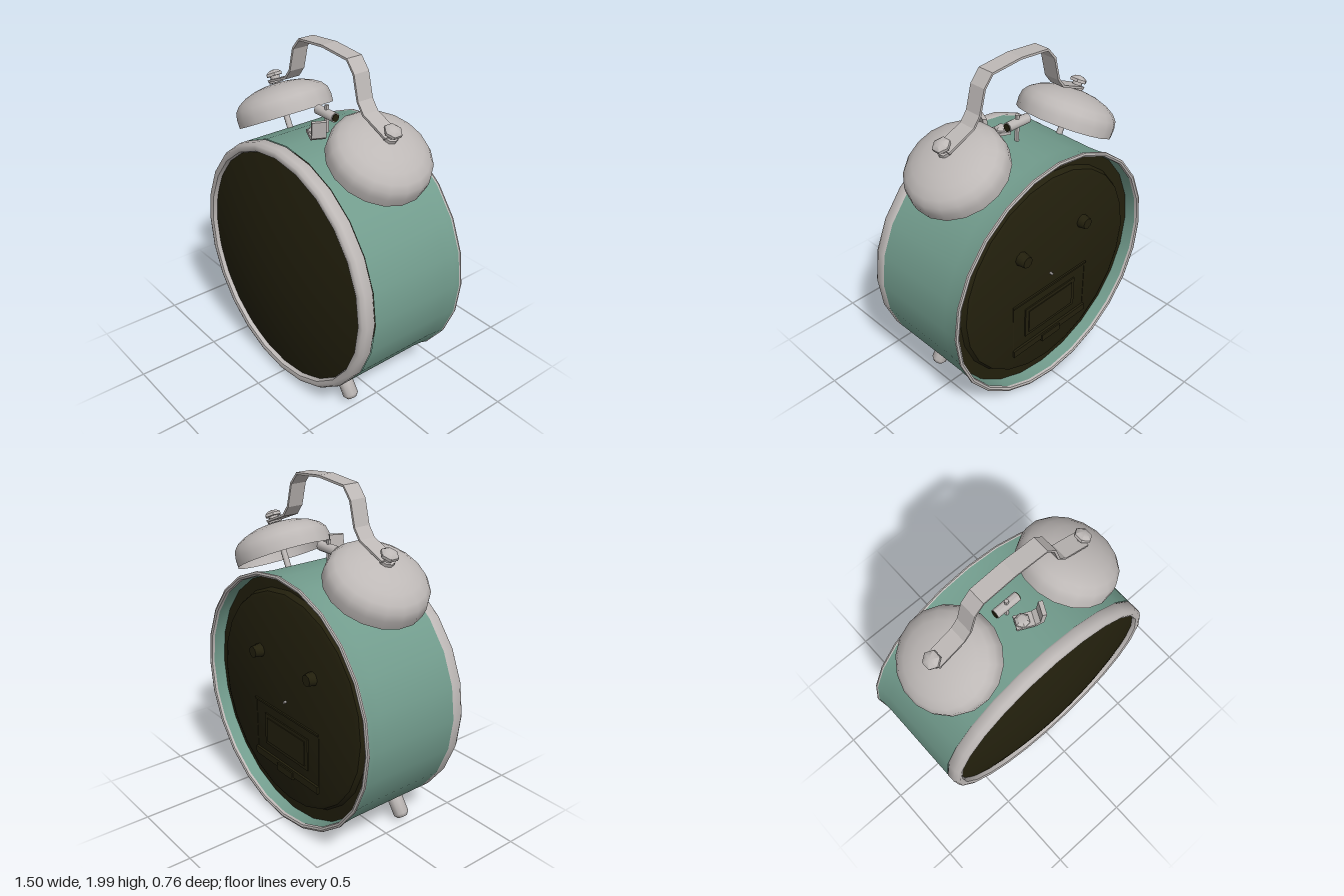
import * as THREE from 'three';
import { toCreasedNormals } from 'three/addons/utils/BufferGeometryUtils.js';

const mat = (name, color, side = THREE.DoubleSide) => new THREE.MeshStandardMaterial({ name, color, side });
const green = mat('greenEnamel', 0x729c8d);
const metal = mat('paleMetal', 0xbdb8b6);
const dark = mat('darkOlive', 0x23200d);

const CY = 0.757;   // height of the case axis
const BZ = -0.037;  // depth of the bells and handle
const PZ = -0.33;   // face of the raised back plate

export function createModel() {
  const root = new THREE.Group();

  const add = (name, geo, material, pos = [0, 0, 0], parent = root) => {
    const m = new THREE.Mesh(geo, material);
    m.name = name;
    m.position.set(...pos);
    parent.add(m);
    return m;
  };
  const lathe = (pts, seg, crease = 0.7) =>
    toCreasedNormals(new THREE.LatheGeometry(pts.map(p => new THREE.Vector2(...p)), seg), crease);
  // Turned part around the case axis; points are [radius, z]
  const turned = (name, pts, material, seg = 24) =>
    add(name, lathe(pts, seg).rotateX(Math.PI / 2), material, [0, CY, 0]);
  const cyl = (r1, r2, h, n = 10) =>
    toCreasedNormals(new THREE.CylinderGeometry(r1, r2, h, n), 0.9);

  // Case: inner wall, flared back lip, outer wall
  turned('caseInnerWall', [[0.72, -0.27], [0.728, -0.365]], green);
  turned('caseShell', [[0.748, -0.365], [0.741, -0.32], [0.737, -0.26], [0.737, 0.248]], green);
  turned('backRim', [[0.724, -0.355], [0.728, -0.369], [0.739, -0.374], [0.75, -0.37], [0.752, -0.362], [0.748, -0.355]], metal);

  // Front bezel and domed glass
  turned('frontBezel', [[0.70, 0.245], [0.73, 0.245], [0.738, 0.256], [0.737, 0.305],
    [0.724, 0.325], [0.707, 0.331], [0.69, 0.325], [0.683, 0.31], [0.683, 0.285]], metal);
  const dome = [];
  for (let i = 0; i <= 10; i++) {
    const r = 0.69 * (1 - i / 10);
    dome.push([r, 0.38 - 0.171 * r * r]);
  }
  turned('frontGlass', dome, dark, 32);

  // Recessed back plate with a raised middle
  turned('backPlate', [[0, PZ], [0.61, PZ], [0.635, PZ + 0.01], [0.65, -0.29], [0.73, -0.285]], dark);

  // Back knobs
  for (const [x, y, tip] of [[0.24, 0.995, -0.384], [-0.25, 0.995, -0.375]]) {
    const len = PZ + 0.01 - tip;
    add('backKnob', cyl(0.034, 0.043, len, 8).rotateX(-Math.PI / 2), dark, [x, y, tip + len / 2]);
  }
  add('backPin', cyl(0.008, 0.008, 0.02, 6).rotateX(Math.PI / 2), metal, [0, CY, PZ - 0.006]);

  // Battery door and its ridges; d is the height above the plate
  const box = (name, w, h, d, x, y) =>
    add(name, new THREE.BoxGeometry(w, h, d + 0.01), dark, [x, CY + y, PZ + 0.005 - d / 2]);
  box('doorTopRidge', 0.6, 0.012, 0.01, 0, -0.085);
  box('doorBottomRidge', 0.6, 0.045, 0.014, 0, -0.43);
  for (const s of [-1, 1]) box('doorSideRidge', 0.006, 0.33, 0.003, s * 0.297, -0.25);
  box('doorPanel', 0.41, 0.2, 0.008, 0, -0.25);
  box('doorPanelInset', 0.36, 0.155, 0.013, 0, -0.25);
  box('doorTab', 0.15, 0.045, 0.022, 0, -0.445);

  for (const s of [-1, 1]) {
    // Bell with stem and nut, tilted outwards
    const bell = new THREE.Group();
    bell.name = s > 0 ? 'leftBell' : 'rightBell';
    bell.position.set(s * 0.393, 1.465, BZ);
    bell.rotation.z = -s * 0.475;
    root.add(bell);
    add('bellDome', lathe([[0.283, 0], [0.285, 0.05], [0.277, 0.092], [0.25, 0.125],
      [0.2, 0.155], [0.135, 0.177], [0.07, 0.188], [0, 0.192]], 18, 1), metal, [0, 0, 0], bell);
    add('bellStem', cyl(0.018, 0.018, 0.32, 8), metal, [0, 0.04, 0], bell);
    add('bellWasher', cyl(0.042, 0.042, 0.018, 8), metal, [0, 0.203, 0], bell);
    add('bellNutNeck', cyl(0.028, 0.028, 0.045, 8), metal, [0, 0.225, 0], bell);
    add('bellNut', lathe([[0, 0.234], [0.05, 0.234], [0.05, 0.25], [0.03, 0.264], [0, 0.27]], 6, 0.5),
      metal, [0, 0, 0], bell);

    // Foot pointing outwards and down
    const foot = add('foot', lathe([[0, -0.078], [0.028, -0.078], [0.045, -0.058], [0.045, 0.08]], 10, 0.9),
      metal, [s * 0.42, 0.096, 0.16]);
    foot.rotation.z = s * 0.62;
  }

  // Handle strap bent from a thin strip
  const half = [[0.5, 1.656], [0.45, 1.678], [0.335, 1.725], [0.293, 1.78], [0.258, 1.915], [0.2, 1.982]];
  const path = [...half.map(([x, y]) => [-x, y]), [0, 1.999], ...half.slice().reverse()];
  const under = path.map(([x, y], i) => {
    const a = path[Math.max(i - 1, 0)], b = path[Math.min(i + 1, path.length - 1)];
    const dx = b[0] - a[0], dy = b[1] - a[1], l = Math.hypot(dx, dy);
    return [x + dy / l * 0.013, y - dx / l * 0.013];
  });
  const strip = new THREE.Shape([...path, ...under.reverse()].map(p => new THREE.Vector2(...p)));
  add('handle', new THREE.ExtrudeGeometry(strip, { depth: 0.098, bevelEnabled: false }), metal, [0, 0, BZ - 0.049]);

  // Hammer between the bells
  add('hammerPin', cyl(0.012, 0.012, 0.17, 8), metal, [-0.02, 1.565, BZ]);
  add('hammerHead', cyl(0.028, 0.028, 0.15, 10).rotateZ(Math.PI / 2), metal, [-0.022, 1.6, BZ]);
  for (const x of [-0.098, 0.054])
    add('hammerTip', cyl(0.022, 0.022, 0.008, 10).rotateZ(Math.PI / 2), dark, [x, 1.6, BZ]);

  // Stop bracket bent up from its base, with its screw
  const bracket = new THREE.Group();
  bracket.name = 'stopBracket';
  bracket.position.set(0, 1.52, 0.06);
  bracket.rotation.y = -0.45;
  root.add(bracket);
  const bend = new THREE.Shape([[-0.04, -0.008], [0.07, -0.008], [0.105, 0.015], [0.118, 0.11],
    [0.094, 0.11], [0.086, 0.03], [0.06, 0.01], [-0.04, 0.01]].map(p => new THREE.Vector2(...p)));
  add('bracketStrip', new THREE.ExtrudeGeometry(bend, { depth: 0.08, bevelEnabled: false }), metal, [0, 0, -0.04], bracket);
  add('bracketScrew', lathe([[0, 0], [0.042, 0], [0.042, 0.014], [0.025, 0.026], [0, 0.03]], 6, 0.5),
    metal, [0, 0.006, 0], bracket);

  return root;
}
